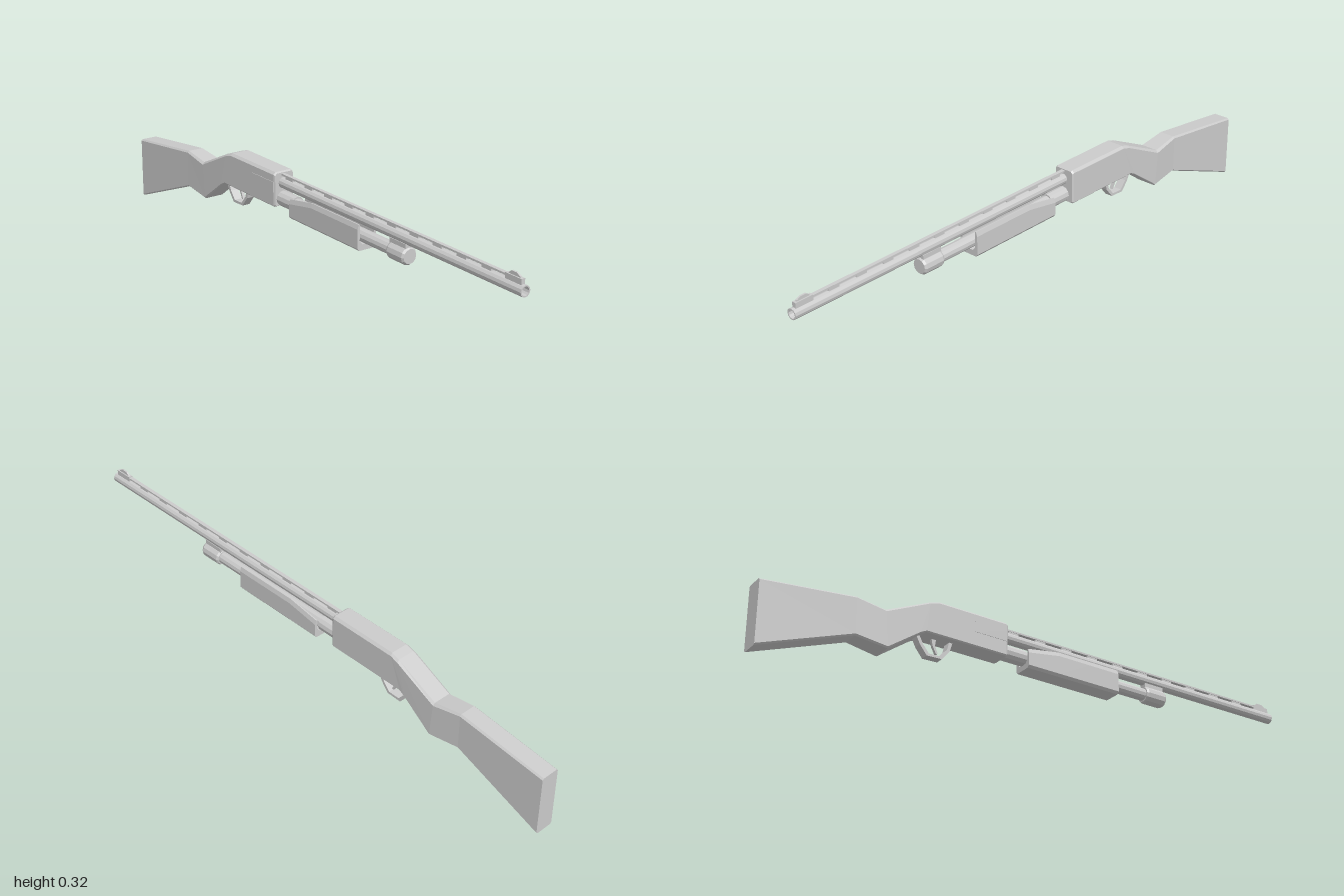
import * as THREE from 'three';

const AXIS = -0.006; // the barrel sits slightly off the centre line
const grey = new THREE.MeshStandardMaterial({ color: 0xcccccc, flatShading: true, side: THREE.DoubleSide });

// Loft chamfered rectangles from front to back: [zTop, top, zBottom, bottom, left, right, topCut, bottomCut]
function loft(sections) {
  const rings = sections.map(([zt, t, zb, b, l, r, c, d]) =>
    [[l + d, b], [r - d, b], [r, b + d], [r, t - c], [r - c, t], [l + c, t], [l, t - c], [l, b + d]]
      .map(([x, y]) => [x, y, zb + (zt - zb) * (y - b) / (t - b)]));
  const pos = [];
  const tri = (...pts) => pts.forEach(p => pos.push(...p));
  for (let i = 0; i < rings.length - 1; i++) {
    for (let j = 0; j < 8; j++) {
      const k = (j + 1) % 8;
      const a = rings[i][j], b = rings[i][k], c = rings[i + 1][k], d = rings[i + 1][j];
      tri(a, d, b);
      tri(b, d, c);
    }
  }
  const first = rings[0], last = rings[rings.length - 1];
  for (let j = 1; j < 7; j++) {
    tri(first[0], first[j], first[j + 1]);
    tri(last[0], last[j + 1], last[j]);
  }
  const geo = new THREE.BufferGeometry();
  geo.setAttribute('position', new THREE.Float32BufferAttribute(pos, 3));
  geo.computeVertexNormals();
  return geo;
}

// Extrude a side profile given as [z, y] points across x
function sideExtrude(points, width) {
  const shape = new THREE.Shape(points.map(([z, y]) => new THREE.Vector2(-z, y)));
  return new THREE.ExtrudeGeometry(shape, { depth: width, bevelEnabled: false })
    .translate(0, 0, -width / 2).rotateY(Math.PI / 2).translate(AXIS, 0, 0);
}

// Surface of revolution along z from [radius, z] points
function turned(points, y, sides) {
  return new THREE.LatheGeometry(points.map(p => new THREE.Vector2(...p)), sides)
    .rotateX(Math.PI / 2).translate(AXIS, y, 0);
}

export function createModel() {
  const group = new THREE.Group();
  const add = (name, geo) => {
    const mesh = new THREE.Mesh(geo, grey);
    mesh.name = name;
    group.add(mesh);
    return mesh;
  };
  const box = (name, w, h, d, x, y, z) => add(name, new THREE.BoxGeometry(w, h, d).translate(x, y, z));

  // Receiver flowing into the grip and stock
  add('receiver', loft([
    [-0.14, 0.314, -0.14, 0.203, -0.037, 0.033, 0.007, 0.004],
    [-0.146, 0.318, -0.146, 0.2, -0.04, 0.036, 0.008, 0.004],
    [-0.395, 0.318, -0.44, 0.2, -0.04, 0.037, 0.008, 0.004],
    [-0.425, 0.309, -0.46, 0.19, -0.04, 0.038, 0.008, 0.004],
  ]));
  add('stock', loft([
    [-0.425, 0.309, -0.46, 0.19, -0.04, 0.038, 0.008, 0.004],
    [-0.58, 0.238, -0.57, 0.109, -0.037, 0.04, 0.008, 0.005],
    [-0.68, 0.253, -0.68, 0.122, -0.034, 0.032, 0.006, 0.005],
    [-1, 0.216, -1, 0, -0.034, 0.032, 0.005, 0.005],
  ]));
  box('ejectionPort', 0.004, 0.036, 0.12, -0.0395, 0.268, -0.206);

  // Barrel with open muzzle
  add('barrel', turned([[0.013, 0.8], [0.014, 1], [0.018, 1], [0.018, -0.15]], 0.28, 12));
  add('boreEnd', new THREE.CircleGeometry(0.0135, 12).translate(AXIS, 0.28, 0.81));

  // Raised rib on posts
  box('rib', 0.013, 0.006, 1.12, AXIS, 0.308, 0.42);
  for (let i = 0; i < 11; i++) box('ribPost', 0.009, 0.012, 0.04, AXIS, 0.3, 0.95 - i * 0.105);

  // Front sight
  add('frontSight', sideExtrude([[0.985, 0.305], [0.98, 0.318], [0.965, 0.325], [0.945, 0.325], [0.925, 0.308]], 0.006));
  box('sightBase', 0.014, 0.018, 0.065, AXIS, 0.305, 0.957);

  // Magazine tube, end cap and lug up to the barrel
  add('magazineTube', turned([[0.021, 0.45], [0.021, -0.06], [0.026, -0.06], [0.026, -0.15]], 0.226, 12));
  add('magazineCap', turned([[0, 0.51], [0.024, 0.51], [0.029, 0.503], [0.029, 0.435], [0.025, 0.428], [0, 0.428]], 0.226, 12));
  box('barrelLug', 0.026, 0.026, 0.075, AXIS, 0.253, 0.467);

  // Trough-shaped pump grip, its upper edges sloping down at the rear
  const pump = new THREE.Shape([
    [-0.034, 0.184], [0.024, 0.184], [0.03, 0.192], [0.03, 0.255], [0.025, 0.27], [0.021, 0.27],
    [0.021, 0.215], [0.01, 0.203], [-0.022, 0.203], [-0.033, 0.215], [-0.033, 0.27], [-0.037, 0.27],
    [-0.042, 0.255], [-0.042, 0.192],
  ].map(([x, y]) => new THREE.Vector2(x, y)));
  const pumpGeo = new THREE.ExtrudeGeometry(pump, { depth: 0.36, steps: 3, bevelEnabled: false }).translate(0.002, 0, -0.06);
  const p = pumpGeo.attributes.position;
  for (let i = 0; i < p.count; i++) {
    if (p.getZ(i) < 0 && p.getY(i) > 0.23) p.setY(i, p.getY(i) - 0.02);
  }
  add('pumpGrip', pumpGeo);

  // Trigger guard band and trigger
  add('triggerGuard', sideExtrude([
    [-0.33, 0.205], [-0.34, 0.17], [-0.368, 0.136], [-0.422, 0.134], [-0.447, 0.165], [-0.465, 0.2],
    [-0.452, 0.2], [-0.437, 0.17], [-0.415, 0.143], [-0.374, 0.144], [-0.35, 0.173], [-0.342, 0.205],
  ], 0.028).translate(0.006, 0, 0));
  add('trigger', sideExtrude([
    [-0.385, 0.205], [-0.388, 0.18], [-0.378, 0.155], [-0.384, 0.153], [-0.397, 0.178], [-0.402, 0.205],
  ], 0.01).translate(0.006, 0, 0));

  return group;
}
